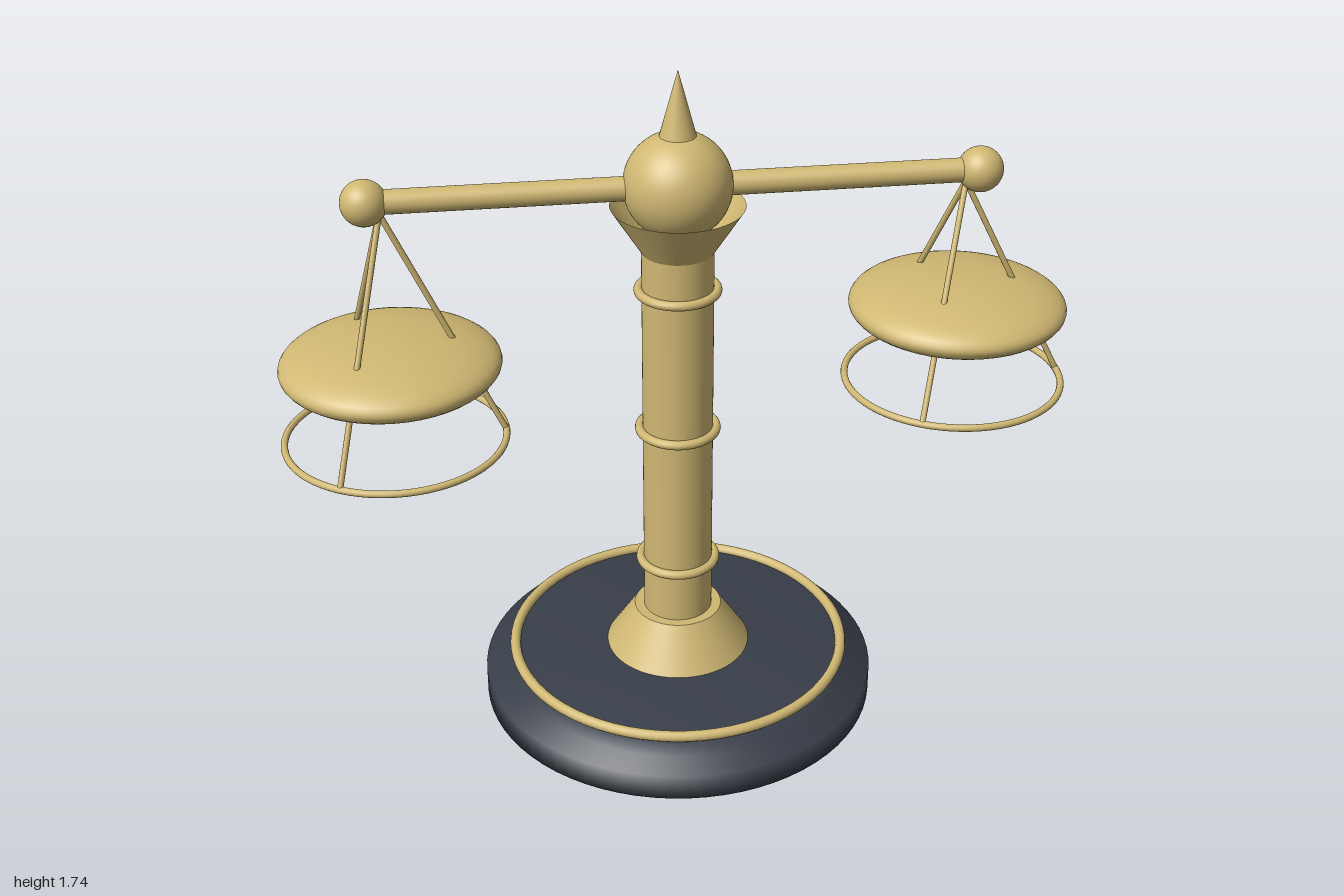
import * as THREE from 'three';

const brass = new THREE.MeshStandardMaterial({ color: 0xd0b873, side: THREE.DoubleSide });
brass.name = 'brass';
const slate = new THREE.MeshStandardMaterial({ color: 0x383e49 });
slate.name = 'dark slate';

function add(parent, name, geometry, material, x = 0, y = 0, z = 0) {
  const mesh = new THREE.Mesh(geometry, material);
  mesh.name = name;
  mesh.position.set(x, y, z);
  parent.add(mesh);
  return mesh;
}

// Horizontal ring
function ring(parent, name, radius, tube, x, y) {
  const geometry = new THREE.TorusGeometry(radius, tube, 12, 72).rotateX(Math.PI / 2);
  return add(parent, name, geometry, brass, x, y);
}

function lathe(points, segments = 64) {
  return new THREE.LatheGeometry(points.map(([r, y]) => new THREE.Vector2(r, y)), segments);
}

// Thin straight rod between two points
function rod(parent, name, from, to, radius) {
  const direction = to.clone().sub(from);
  const mesh = add(parent, name, new THREE.CylinderGeometry(radius, radius, direction.length(), 10), brass);
  mesh.position.copy(from).add(to).multiplyScalar(0.5);
  mesh.quaternion.setFromUnitVectors(new THREE.Vector3(0, 1, 0), direction.normalize());
  return mesh;
}

// Lens-shaped pan, its three rods and the lower ring
function createPan(name, x, ringY, panY) {
  const pan = new THREE.Group();
  pan.name = name;
  const dish = add(pan, 'dish', new THREE.SphereGeometry(0.275, 48, 24), brass, x, panY);
  dish.scale.y = 0.075 / 0.275;
  ring(pan, 'panRing', 0.277, 0.009, x, ringY);
  const apex = new THREE.Vector3(x, 1.42, 0);
  for (let i = 0; i < 3; i++) {
    const a = (i * Math.PI * 2) / 3;
    const end = new THREE.Vector3(x + 0.277 * Math.cos(a), ringY, 0.277 * Math.sin(a));
    rod(pan, 'panRod', apex, end, 0.0075);
  }
  return pan;
}

export function createModel() {
  const model = new THREE.Group();
  model.name = 'balanceScale';

  // Two-step base with brass trim
  add(model, 'base', lathe([[0, 0], [0.52, 0], [0.52, 0.07], [0.44, 0.07], [0.44, 0.13], [0, 0.13]], 72), slate);
  ring(model, 'baseTrim', 0.44, 0.014, 0, 0.134);

  // Foot, column and column rings
  add(model, 'foot', new THREE.CylinderGeometry(0.115, 0.19, 0.115, 64), brass, 0, 0.1875);
  add(model, 'column', new THREE.CylinderGeometry(0.09, 0.09, 1.06, 48), brass, 0, 0.77);
  for (const y of [0.393, 0.785, 1.175]) ring(model, 'columnRing', 0.098, 0.012, 0, y);

  // Flared open capital, hub ball and finial
  add(model, 'capital', lathe([[0.09, 1.28], [0.166, 1.4]]), brass);
  add(model, 'hub', new THREE.SphereGeometry(0.134, 48, 32), brass, 0, 1.452);
  add(model, 'finial', new THREE.ConeGeometry(0.052, 0.19, 32), brass, 0, 1.647);

  // Beam with end balls
  const beam = add(model, 'beam', new THREE.CylinderGeometry(0.03, 0.03, 1.5, 32), brass, 0, 1.45);
  beam.rotation.z = Math.PI / 2;
  for (const x of [-0.748, 0.748]) {
    add(model, 'beamBall', new THREE.SphereGeometry(0.057, 32, 20), brass, x, 1.45);
  }

  // Pans hang at slightly different heights
  model.add(createPan('rightPan', -0.714, 0.813, 1.021));
  model.add(createPan('leftPan', 0.714, 0.88, 1.087));

  return model;
}
